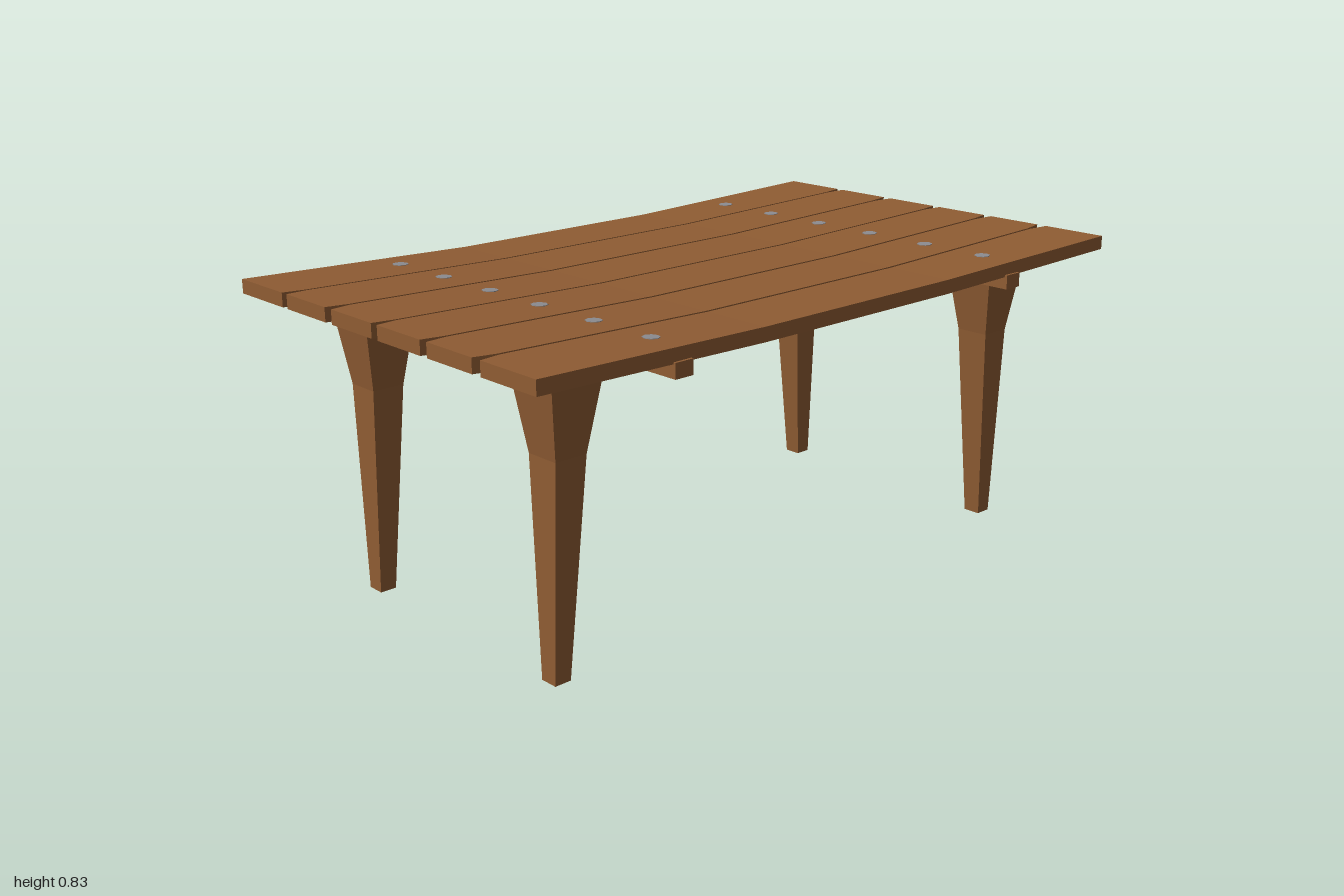
import * as THREE from 'three';

// Solid through four-cornered rings, counter-clockwise about the direction of travel
function loft(rings) {
  const pos = [];
  const quad = (a, b, c, d) => [a, b, c, a, c, d].forEach((p) => pos.push(...p));
  for (let i = 0; i < rings.length - 1; i++) {
    for (let j = 0; j < 4; j++) {
      const k = (j + 1) % 4;
      quad(rings[i][j], rings[i][k], rings[i + 1][k], rings[i + 1][j]);
    }
  }
  quad(...[...rings[0]].reverse());
  quad(...rings[rings.length - 1]);
  const geo = new THREE.BufferGeometry();
  geo.setAttribute('position', new THREE.Float32BufferAttribute(pos, 3));
  geo.computeVertexNormals();
  return geo;
}

// Horizontal ring at height y
const level = (y, x0, x1, z0, z1) => [[x0, y, z0], [x0, y, z1], [x1, y, z1], [x1, y, z0]];

// Height of the sagging table top at x
const topAt = (x) => 0.808 + 0.0175 * Math.max(0, (Math.abs(x) - 0.33) / 0.67);

export function createModel() {
  const wood = new THREE.MeshStandardMaterial({ color: 0x8f5c33 });
  wood.name = 'brown wood';
  const metal = new THREE.MeshStandardMaterial({ color: 0x8c8c90 });
  metal.name = 'grey metal';
  const table = new THREE.Group();
  table.name = 'table';
  const add = (name, geo, mat = wood) => {
    const mesh = new THREE.Mesh(geo, mat);
    mesh.name = name;
    table.add(mesh);
    return mesh;
  };

  // Planks: z edges along the middle, z edges at the ends, screw z
  const planks = [
    [-0.583, -0.395, -0.595, -0.402, -0.5],
    [-0.388, -0.201, -0.38, -0.208, -0.305],
    [-0.193, -0.006, -0.18, -0.012, -0.11],
    [0.001, 0.187, 0.012, 0.18, 0.085],
    [0.195, 0.38, 0.205, 0.37, 0.285],
    [0.388, 0.576, 0.4, 0.588, 0.482],
  ];
  const stations = [-1, -0.94, -0.33, 0.33, 0.94, 1];
  planks.forEach(([z0, z1, e0, e1, screwZ], n) => {
    const rings = stations.map((x) => {
      const end = Math.abs(x) === 1 ? 1 : 0;
      const flare = Math.max(0, (Math.abs(x) - 0.33) / 0.67);
      // Outer edges flare gradually, inner edges are nipped at the ends
      const a = z0 + (e0 - z0) * (n === 0 ? flare : end);
      const b = z1 + (e1 - z1) * (n === 5 ? flare : end);
      const y1 = topAt(x), y0 = y1 - 0.037;
      return [[x, y1, a], [x, y1, b], [x, y0, b], [x, y0, a]];
    });
    add('plank', loft(rings));

    // Screw heads
    for (const side of [-1, 1]) {
      const x = side * 0.595;
      const screw = add('screw', new THREE.CylinderGeometry(0.021, 0.021, 0.008, 8), metal);
      screw.position.set(x, topAt(x) - 0.0025, screwZ);
      screw.rotation.z = side * 0.026;
    }
  });

  for (const sx of [-1, 1]) {
    // Cross bar under the planks
    const bar = add('crossBar', new THREE.BoxGeometry(0.054, 0.038, 1.17));
    bar.position.set(sx * 0.593, 0.764, 0.003);

    for (const sz of [-1, 1]) {
      const ring = (y, x0, x1, z0, z1) => level(y,
        Math.min(sx * x0, sx * x1), Math.max(sx * x0, sx * x1),
        Math.min(sz * z0, sz * z1), Math.max(sz * z0, sz * z1));
      // Tapered leg with a wider shoulder
      add('leg', loft([
        ring(0, 0.77, 0.816, 0.338, 0.387),
        ring(0.555, 0.727, 0.816, 0.315, 0.41),
        ring(0.768, 0.692, 0.846, 0.286, 0.44),
      ]));
      // Bevelled mounting plate
      add('legPlate', loft([
        ring(0.763, 0.675, 0.872, 0.263, 0.464),
        ring(0.777, 0.658, 0.888, 0.246, 0.481),
        ring(0.786, 0.658, 0.888, 0.246, 0.481),
      ]));
    }
  }
  return table;
}
